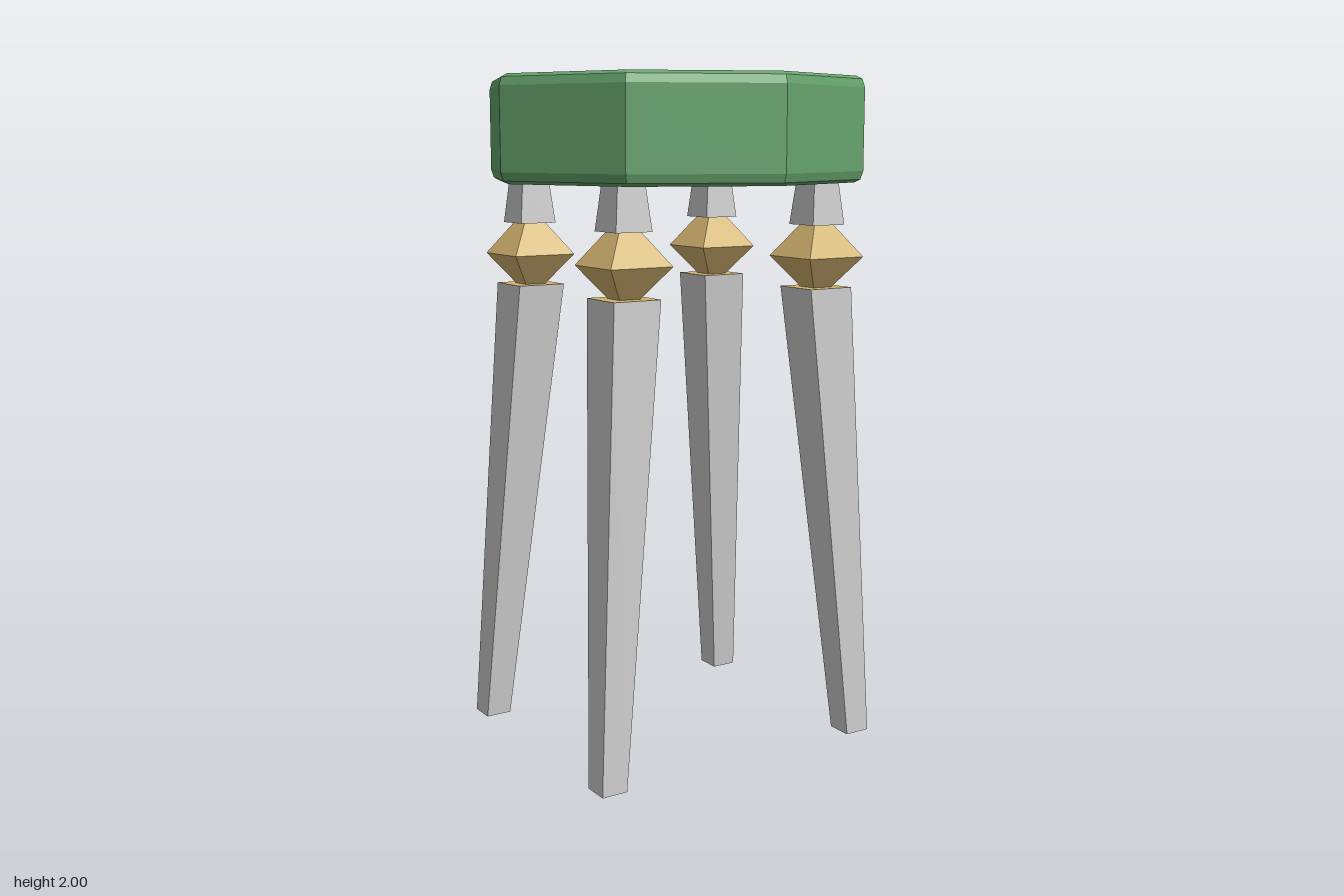
import * as THREE from 'three';

const grey = new THREE.MeshStandardMaterial({ color: 0xcccccc, flatShading: true });
const brass = new THREE.MeshStandardMaterial({ color: 0xd2b470, flatShading: true });
const green = new THREE.MeshStandardMaterial({ color: 0x66a36c, flatShading: true });

// Faceted turning from [radius, y] pairs listed bottom to top
function turned(name, profile, sides, material) {
  const points = profile.map(([r, y]) => new THREE.Vector2(r, y));
  const mesh = new THREE.Mesh(new THREE.LatheGeometry(points, sides), material);
  mesh.name = name;
  return mesh;
}

// Square-section turning aligned to the axes, from [halfWidth, y] pairs
function square(name, profile, material) {
  const mesh = turned(name, profile.map(([h, y]) => [h * Math.SQRT2, y]), 4, material);
  mesh.geometry.rotateY(Math.PI / 4);
  return mesh;
}

const LEG_TOP = 1.385, NECK_BOTTOM = 1.57, SEAT_BOTTOM = 1.695;

function createLeg(name, x, z, splayX, splayZ) {
  const leg = new THREE.Group();
  leg.name = name;

  // Tapered shaft, sheared outward towards the foot
  const shaft = square('shaft', [[0, 0], [0.04, 0], [0.075, LEG_TOP]], grey);
  const p = shaft.geometry.attributes.position;
  for (let i = 0; i < p.count; i++) {
    const t = 1 - p.getY(i) / LEG_TOP;
    p.setX(i, p.getX(i) + splayX * t);
    p.setZ(i, p.getZ(i) + splayZ * t);
  }
  shaft.geometry.computeVertexNormals();

  // Diamond collar with the brass faces that meet the shaft and the neck
  const collar = square('collar', [
    [0.075, LEG_TOP], [0.033, LEG_TOP], [0.099, 1.476],
    [0.035, NECK_BOTTOM], [0.058, NECK_BOTTOM],
  ], brass);

  // Short block under the seat
  const neck = square('neck', [[0.058, NECK_BOTTOM], [0.044, SEAT_BOTTOM + 0.005]], grey);

  leg.add(shaft, collar, neck);
  leg.position.set(x, 0, z);
  return leg;
}

export function createModel() {
  const stool = new THREE.Group();
  stool.name = 'stool';

  // Octagonal cushion with softened rims
  stool.add(turned('seat', [
    [0, SEAT_BOTTOM], [0.545, SEAT_BOTTOM], [0.562, 1.704], [0.57, 1.728],
    [0.57, 1.967], [0.562, 1.991], [0.545, 2], [0, 2],
  ], 8, green));

  // Four splayed legs: position at the collar and outward lean at the foot
  const across = [['left', 0.329, 0.096], ['right', -0.339, -0.111]];
  const along = [['front', 0.282, 0.083], ['back', -0.276, -0.094]];
  for (const [side, x, splayX] of across) {
    for (const [end, z, splayZ] of along) {
      stool.add(createLeg(`${end} ${side} leg`, x, z, splayX, splayZ));
    }
  }
  return stool;
}
